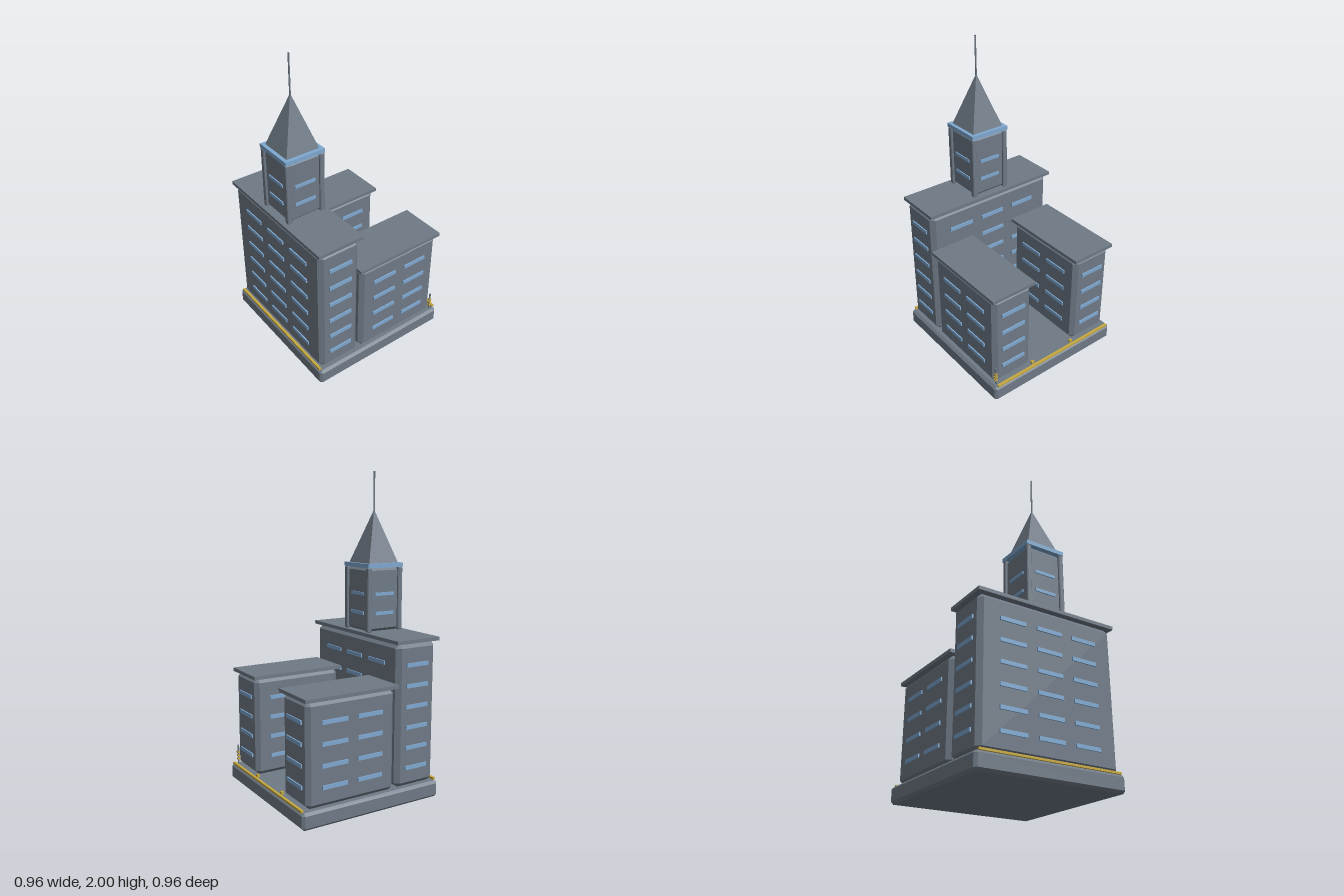
import * as THREE from 'three';
import { ConvexGeometry } from 'three/addons/geometries/ConvexGeometry.js';

const mat = (name, color) => {
  const m = new THREE.MeshStandardMaterial({ color });
  m.name = name;
  return m;
};

export function createModel() {
  const stone = mat('slate stone', 0x6f7a86);
  const glass = mat('window blue', 0x7ea8d0);
  const gold = mat('yellow trim', 0xc8a93e);
  const model = new THREE.Group();
  model.name = 'cityBuilding';

  const add = (parent, name, geo, material, x, y, z) => {
    const mesh = new THREE.Mesh(geo, material);
    mesh.name = name;
    mesh.position.set(x, y, z);
    parent.add(mesh);
    return mesh;
  };
  const box = (parent, name, m, w, h, d, x, y, z) =>
    add(parent, name, new THREE.BoxGeometry(w, h, d), m, x, y, z);

  // Box with every edge cut off by c
  const chamferBox = (w, h, d, c) => {
    const pts = [];
    for (const sx of [-1, 1]) for (const sy of [-1, 1]) for (const sz of [-1, 1]) {
      for (let face = 0; face < 3; face++) {
        const inset = [c, c, c];
        inset[face] = 0;
        pts.push(new THREE.Vector3(
          sx * (w / 2 - inset[0]), sy * (h / 2 - inset[1]), sz * (d / 2 - inset[2])));
      }
    }
    return new ConvexGeometry(pts);
  };

  // Rows of window bars on all four walls of a block centred on its group
  const addWindows = (parent, w, d, rows, frontCols, sideCols, len, sideLen, h, out) => {
    for (const y of rows) for (const s of [-1, 1]) {
      for (const x of frontCols) box(parent, 'window', glass, len, h, out * 2, x, y, s * d / 2);
      for (const z of sideCols) box(parent, 'window', glass, out * 2, h, sideLen, s * w / 2, y, z);
    }
  };
  const section = (name, x, z) => {
    const g = new THREE.Group();
    g.name = name;
    g.position.set(x, 0, z);
    model.add(g);
    return g;
  };

  // Ground slab
  const floor = 0.105;
  add(model, 'base', chamferBox(0.965, floor, 0.965, 0.016), stone, 0, floor / 2, 0);

  // Main front block
  const rows = [0.225, 0.352, 0.479, 0.606, 0.733, 0.86];
  const main = section('mainBlock', 0, 0.318);
  add(main, 'mainWalls', chamferBox(0.916, 0.885, 0.284, 0.028), stone, 0, floor + 0.4425, 0);
  box(main, 'mainRoof', stone, 0.94, 0.022, 0.312, 0, 1.001, 0);
  addWindows(main, 0.916, 0.284, rows, [-0.243, 0, 0.243], [0], 0.17, 0.16, 0.024, 0.008);

  // Two rear wings
  for (const s of [-1, 1]) {
    const wing = section(s > 0 ? 'leftWing' : 'rightWing', s * 0.316, -0.14);
    add(wing, 'wingWalls', chamferBox(0.284, 0.625, 0.6, 0.026), stone, 0, floor + 0.3125, 0);
    box(wing, 'wingRoof', stone, 0.312, 0.022, 0.63, 0, 0.741, 0);
    addWindows(wing, 0.284, 0.6, rows.slice(0, 4), [0], [-0.12, 0.12], 0.17, 0.17, 0.024, 0.008);
  }

  // Tower with corner posts, cornice, spire and mast
  const tower = section('tower', 0, 0.316);
  add(tower, 'towerWalls', chamferBox(0.236, 0.398, 0.236, 0.018), stone, 0, 1.211, 0);
  for (const sx of [-1, 1]) for (const sz of [-1, 1]) {
    add(tower, 'cornerPost', chamferBox(0.032, 0.398, 0.032, 0.005), stone, sx * 0.116, 1.211, sz * 0.116);
  }
  addWindows(tower, 0.236, 0.236, [1.125, 1.246], [0], [0], 0.14, 0.14, 0.02, 0.007);
  box(tower, 'cornice', glass, 0.266, 0.026, 0.266, 0, 1.423, 0);
  const spire = new THREE.ConeGeometry(0.11 * Math.SQRT2, 0.33, 4).toNonIndexed();
  spire.rotateY(Math.PI / 4);
  spire.computeVertexNormals();
  add(tower, 'spire', spire, stone, 0, 1.6, 0);
  add(tower, 'mast', new THREE.CylinderGeometry(0.005, 0.005, 0.26, 8), stone, 0, 1.87, 0);

  // Yellow edging and courtyard markers
  box(model, 'frontTrim', gold, 0.915, 0.013, 0.016, 0, floor + 0.0065, 0.47);
  box(model, 'backTrim', gold, 0.915, 0.013, 0.016, 0, floor + 0.0065, -0.473);
  for (const s of [-1, 1]) {
    box(model, 'courtMarker', gold, 0.02, 0.016, 0.016, s * 0.161, floor + 0.008, -0.443);
  }

  // Small banded post at the rear corner
  const post = section('bandedPost', 0.452, -0.443);
  add(post, 'post', new THREE.CylinderGeometry(0.006, 0.006, 0.125, 8), stone, 0, floor + 0.0625, 0);
  for (const y of [0.138, 0.16, 0.182]) {
    box(post, 'band', gold, 0.018, 0.01, 0.018, 0, y, 0);
  }
  return model;
}
